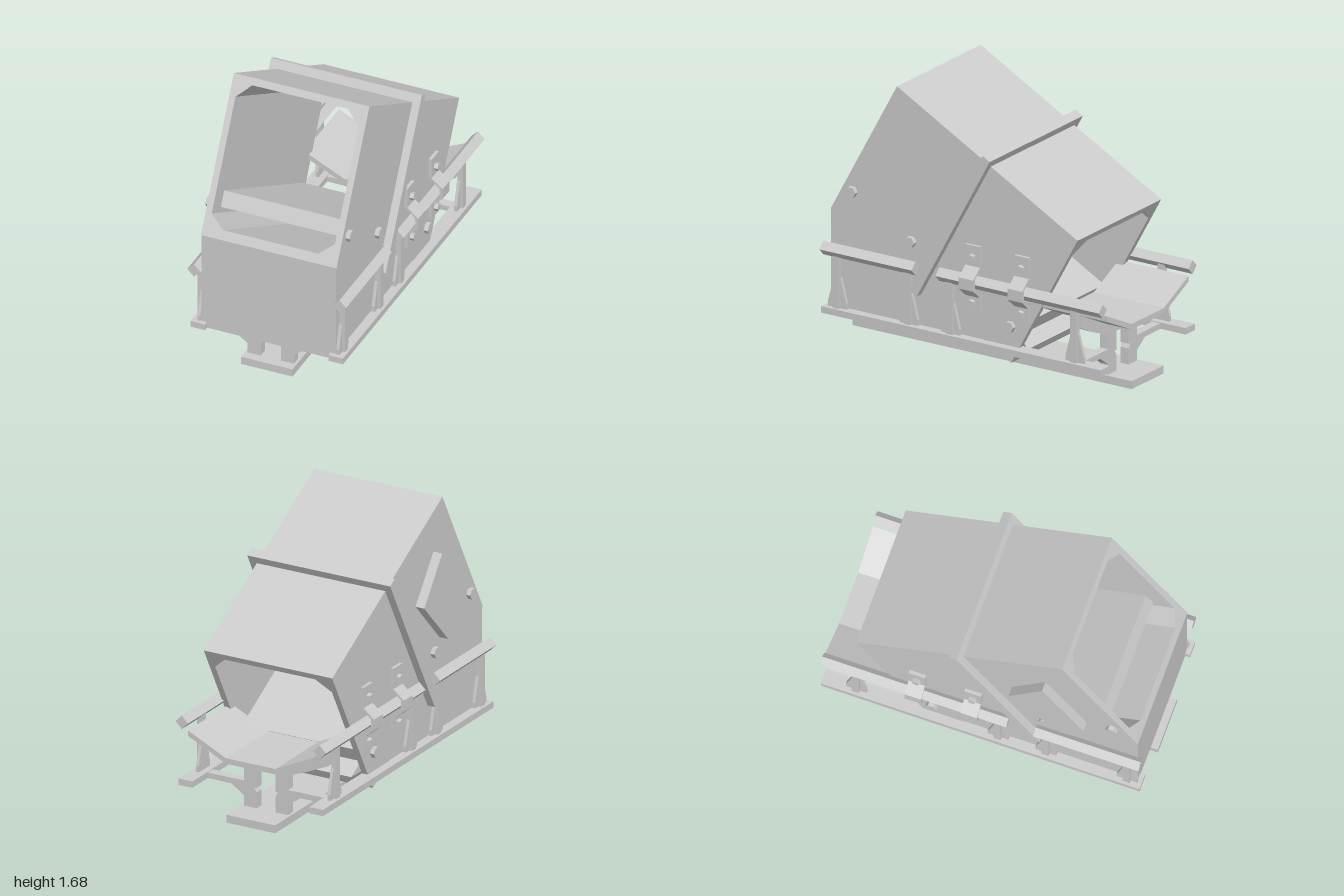
import * as THREE from 'three';

const mat = new THREE.MeshStandardMaterial({ color: 0xcccccc, flatShading: true, side: THREE.DoubleSide });
const smooth = new THREE.MeshStandardMaterial({ color: 0xcccccc });

function add(parent, name, geo, x = 0, y = 0, z = 0, m = mat) {
  const mesh = new THREE.Mesh(geo, m);
  mesh.name = name;
  mesh.position.set(x, y, z);
  parent.add(mesh);
  return mesh;
}

const poly = pts => new THREE.Shape(pts.map(p => new THREE.Vector2(p[0], p[1])));

// Outline in (x, y), extruded along z between z0 and z1
function frontSlab(pts, z0, z1) {
  return new THREE.ExtrudeGeometry(poly(pts), { depth: z1 - z0, bevelEnabled: false }).translate(0, 0, z0);
}

// Outline in (z, y), extruded along x between x0 and x1
function sideSlab(pts, x0, x1) {
  return new THREE.ExtrudeGeometry(poly(pts), { depth: x1 - x0, bevelEnabled: false })
    .rotateY(-Math.PI / 2).translate(x1, 0, 0);
}

const box = (w, h, d) => new THREE.BoxGeometry(w, h, d);
const rod = (r, len, sides) => new THREE.CylinderGeometry(r, r, len, sides).rotateZ(Math.PI / 2);

export function createModel() {
  const model = new THREE.Group();

  // Tilted screen box: an eight-sided passage runs from front to back
  const screenBox = new THREE.Group();
  screenBox.name = 'screenBox';
  screenBox.position.set(0, 0.82, 0.97);
  screenBox.rotation.x = -0.503;
  model.add(screenBox);

  const shell = poly([[-0.44, 0], [0.44, 0], [0.44, 0.985], [-0.44, 0.985]]);
  shell.holes.push(new THREE.Path([
    [-0.31, 0.06], [-0.4, 0.14], [-0.4, 0.85], [-0.31, 0.94],
    [0.31, 0.94], [0.4, 0.85], [0.4, 0.14], [0.31, 0.06],
  ].map(p => new THREE.Vector2(...p))));
  const shellGeo = new THREE.ExtrudeGeometry(shell, { depth: 1.475, bevelEnabled: false });
  add(screenBox, 'shell', shellGeo.translate(0, 0, -1.475));
  add(screenBox, 'screenDeck', box(0.8, 0.1, 1.3), 0, 0.226, -0.78);

  // Stiffening band over the roof and down both sides
  add(screenBox, 'bandTop', box(0.98, 0.055, 0.06), 0, 1.0125, -0.736);
  for (const s of [-1, 1]) add(screenBox, 'bandSide', box(0.05, 1.03, 0.06), s * 0.465, 0.471, -0.736);

  // Closed hopper under the screen box
  add(model, 'lowerHopper', sideSlab([[0.97, 0.82], [0.97, 0.175], [-0.22, 0.175]], -0.435, 0.435));

  // Raised hatch on one side
  add(model, 'sideHatch', sideSlab([[0.39, 1.37], [0.65, 0.91], [0.46, 0.8], [0.18, 1.09]], -0.5, -0.43));

  // Ground skid
  add(model, 'basePlate', box(0.335, 0.05, 2), 0, 0.025, 0);

  for (const s of [-1, 1]) {
    // Lower and upper side rails
    add(model, 'lowerRail', box(0.095, 0.04, 2), s * 0.4475, 0.195, 0);
    for (const [z0, z1] of [[0.34, 1], [-1, 0.17]]) {
      const geo = box(0.061, 0.061, z1 - z0).rotateZ(Math.PI / 4);
      add(model, 'upperRail', geo, s * 0.472, 0.578, (z0 + z1) / 2);
    }

    // Rail posts with flared gussets
    for (const z of [0.91, 0.4, 0.1, -0.79]) {
      add(model, 'railPost', box(0.035, 0.36, 0.045), s * 0.46, 0.39, z);
      const flare = [[-0.065, 0.21], [0.065, 0.21], [0.065, 0.25], [0.022, 0.41], [-0.022, 0.41], [-0.065, 0.25]];
      add(model, 'postGusset', sideSlab(flare, -0.01, 0.01), s * 0.45, 0, z);
    }

    // Angled feet joining the lower rails to the skid
    const foot = [[0.42, 0.21], [0.42, 0.176], [0.235, 0.174], [0.15, 0.115], [0.15, 0.05],
      [0.065, 0.05], [0.065, 0.15], [0.1, 0.21]].map(p => [p[0] * s, p[1]]);
    for (const z of [0.91, 0.1, -0.79]) add(model, 'foot', frontSlab(foot, -0.03, 0.03), 0, 0, z);

    // Clamps bent outwards around the upper rails
    const path = [[0.44, 0.38], [0.44, 0.48], [0.51, 0.54], [0.51, 0.61], [0.44, 0.67], [0.44, 0.8]];
    const outer = path.map(([x, y]) => [x + 0.02, y]).reverse();
    const clamp = [...path, ...outer].map(p => [p[0] * s, p[1]]);
    for (const z of [-0.06, -0.41]) {
      add(model, 'railClamp', frontSlab(clamp, -0.052, 0.052), 0, 0, z);
      for (const y of [0.44, 0.725]) add(model, 'clampBolt', rod(0.025, 0.03, 5), s * 0.47, y, z);
    }

    // Hexagonal bolts on the box sides
    for (const [z, y] of [[0.81, 0.96], [0.39, 0.73], [-0.32, 0.34]]) {
      add(model, 'sideBolt', rod(0.035, 0.03, 6), s * 0.453, y, z);
    }
  }

  // Discharge trough and its cradle
  const trough = [[-0.43, 0.5], [-0.17, 0.375], [0.17, 0.375], [0.43, 0.5],
    [0.43, 0.535], [0.17, 0.41], [-0.17, 0.41], [-0.43, 0.535]];
  add(model, 'dischargeTrough', frontSlab(trough, -1, -0.5));
  const cradle = [[-0.43, 0.42], [-0.3, 0.36], [-0.15, 0.3], [-0.15, 0.18], [-0.065, 0.18], [-0.065, 0.3],
    [0.065, 0.3], [0.065, 0.18], [0.15, 0.18], [0.15, 0.3], [0.3, 0.36], [0.43, 0.42],
    [0.43, 0.5], [0.17, 0.376], [-0.17, 0.376], [-0.43, 0.5]];
  add(model, 'troughCradle', frontSlab(cradle, -0.82, -0.76));

  // Drive under the hopper: motor, shaft housing, pulleys and mount
  add(model, 'motor', rod(0.115, 0.38, 24), -0.02, 0.165, 0.6, smooth);
  add(model, 'shaftHousing', rod(0.085, 0.34, 24), 0, 0.165, 0.355, smooth);
  add(model, 'motorPulley', rod(0.125, 0.06, 28), 0.2, 0.17, 0.6, smooth);
  add(model, 'shaftPulley', rod(0.095, 0.06, 28), 0.2, 0.155, 0.355, smooth);
  for (const x of [-0.12, 0.08]) {
    add(model, 'driveMount', sideSlab([[0.8, 0.05], [0.16, 0.05], [0.24, 0.175], [0.72, 0.175]], x, x + 0.04));
  }

  return model;
}
